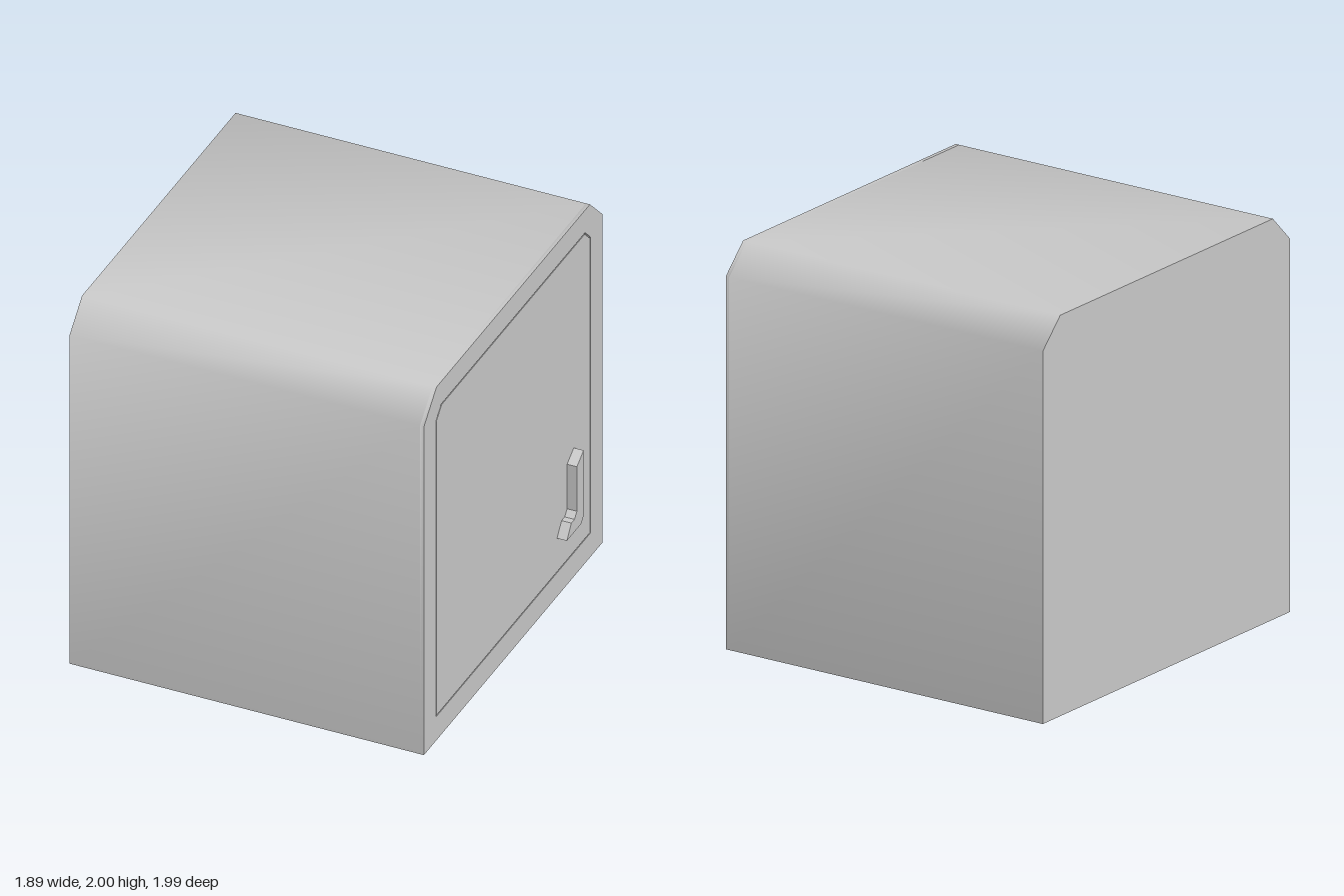
import * as THREE from 'three';
import { toCreasedNormals } from 'three/addons/utils/BufferGeometryUtils.js';

const material = new THREE.MeshStandardMaterial({ color: 0xcccccc });

// Outline of a square with its two upper corners cut; u runs along -z
const arch = (halfWidth, bottom, top, cut) => [
  [-halfWidth, bottom], [halfWidth, bottom],
  [halfWidth, top - cut], [halfWidth - cut, top],
  [-halfWidth + cut, top], [-halfWidth, top - cut],
].map(([u, v]) => new THREE.Vector2(u, v));

// Extrude a side profile along x, from x0 to x1
function slab(name, points, x0, x1, { hole, crease = 0.1 } = {}) {
  const shape = new THREE.Shape(points);
  if (hole) shape.holes.push(new THREE.Path(hole));
  const geometry = new THREE.ExtrudeGeometry(shape, { depth: x1 - x0, bevelEnabled: false });
  geometry.rotateY(Math.PI / 2).translate(x0, 0, 0);
  const mesh = new THREE.Mesh(toCreasedNormals(geometry, crease), material);
  mesh.name = name;
  return mesh;
}

export function createModel() {
  const group = new THREE.Group();
  group.name = 'cabinet';
  const face = 0.895, grooveFloor = 0.875;
  const soft = Math.PI / 3; // blends the cut corners, keeps right angles sharp

  // Body, and the rim that surrounds the door
  const outline = arch(0.997, 0, 2, 0.14);
  group.add(slab('body', outline, -0.948, grooveFloor, { crease: soft }));
  group.add(slab('doorFrame', outline, grooveFloor, face, {
    hole: arch(0.865, 0.135, 1.872, 0.062), crease: soft,
  }));

  // Door, flush with the rim and set off by a thin groove
  group.add(slab('door', arch(0.859, 0.141, 1.866, 0.06), grooveFloor, face));

  // Hooked handle
  const handle = [
    [0.49, 0.33], [0.65, 0.33], [0.677, 0.36], [0.677, 0.73],
    [0.602, 0.682], [0.602, 0.43], [0.575, 0.4], [0.54, 0.4],
  ].map(([u, v]) => new THREE.Vector2(u, v));
  group.add(slab('handle', handle, face, 0.946));

  return group;
}
